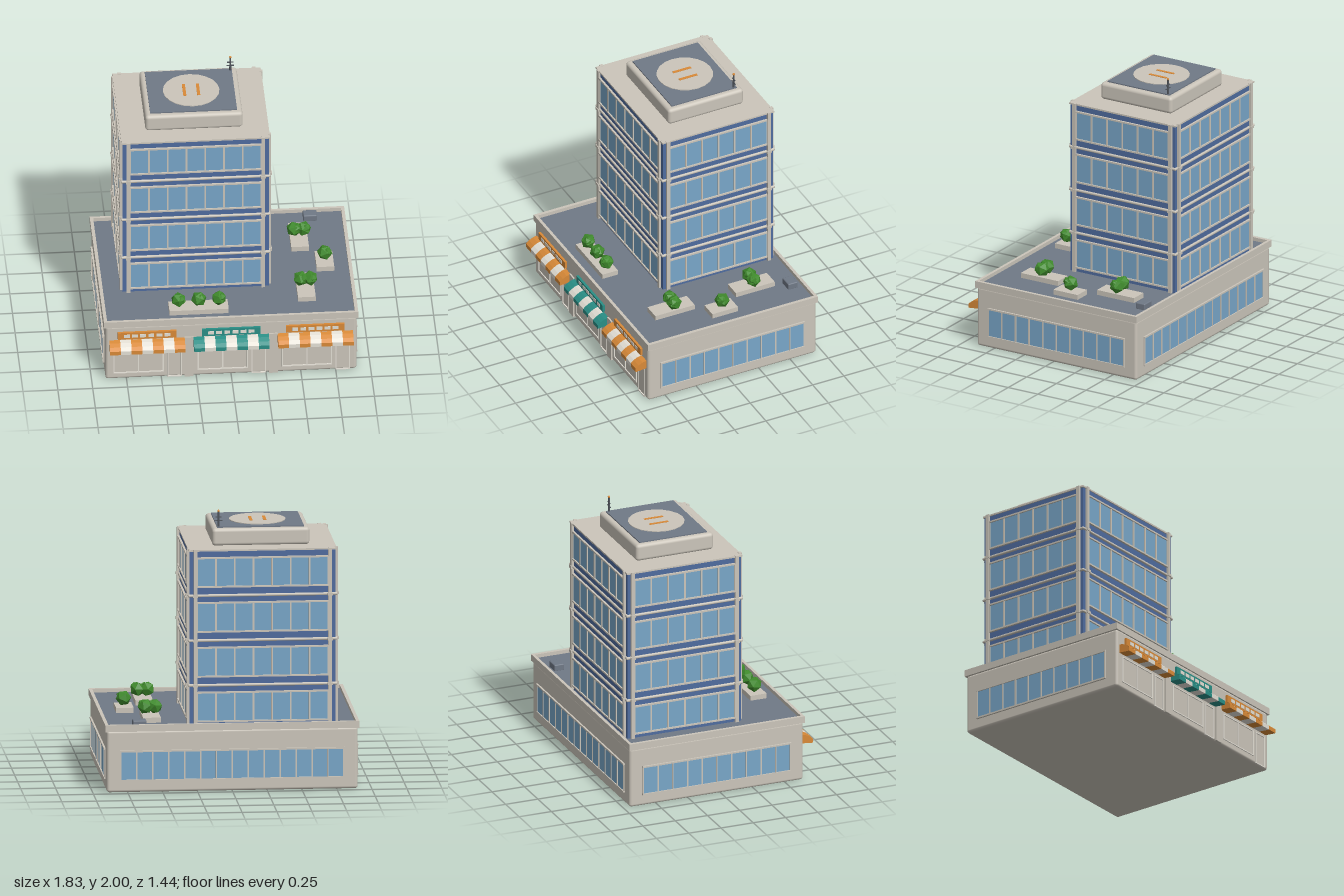
import * as THREE from 'three';
import { RoundedBoxGeometry } from 'three/addons/geometries/RoundedBoxGeometry.js';

const mat = (name, color, extra = {}) =>
  Object.assign(new THREE.MeshStandardMaterial({ color, ...extra }), { name });

export function createModel() {
  const M = {
    stone: mat('warm stone', 0xcbc5ba),
    glass: mat('blue glass', 0x78a6c8),
    navy: mat('navy panel', 0x4f6c9f),
    slate: mat('slate roof', 0x707986),
    white: mat('off white', 0xe4e0d6),
    orange: mat('orange', 0xd98a38),
    teal: mat('teal', 0x2a8f86),
    leaf: mat('leaf green', 0x3f8a2c, { flatShading: true }),
    metal: mat('dark metal', 0x50555c),
  };
  const model = new THREE.Group();
  model.name = 'officeTower';

  const group = (name, parent = model) => {
    const g = new THREE.Group();
    g.name = name;
    parent.add(g);
    return g;
  };
  const add = (name, geo, material, x, y, z, parent = model) => {
    const m = new THREE.Mesh(geo, material);
    m.name = name;
    m.position.set(x, y, z);
    parent.add(m);
    return m;
  };
  // Box given by its min and max on each axis
  const box = (name, material, x0, x1, y0, y1, z0, z1, parent, radius = 0) => {
    const s = [x1 - x0, y1 - y0, z1 - z0];
    const geo = radius ? new RoundedBoxGeometry(...s, 3, radius) : new THREE.BoxGeometry(...s);
    return add(name, geo, material, (x0 + x1) / 2, (y0 + y1) / 2, (z0 + z1) / 2, parent);
  };
  // Glazed strip on the local plane z = 0, facing +z
  const windowStrip = (parent, width, y0, y1, panes, bar = 0.012, deep = 0.012) => {
    const h = width / 2;
    box('windowGlass', M.glass, -h, h, y0, y1, -0.002, 0.005, parent);
    for (let i = 0; i <= panes; i++) {
      const x = -h + (width * i) / panes;
      box('mullion', M.stone, x - bar / 2, x + bar / 2, y0, y1, 0, deep, parent);
    }
    for (const y of [y0, y1])
      box('windowRail', M.stone, -h - 0.006, h + 0.006, y - 0.006, y + 0.006, 0, deep + 0.003, parent);
  };

  // Podium with cornice, parapet and roof
  const podium = group('podium');
  box('podiumWall', M.stone, -0.9, 0.9, 0, 0.45, -0.705, 0.64, podium, 0.02);
  box('podiumRoof', M.slate, -0.89, 0.89, 0.445, 0.466, -0.695, 0.63, podium);
  for (const s of [-1, 1])
    box('sideParapet', M.stone, s * 0.9 - 0.012, s * 0.9 + 0.012, 0.443, 0.493, -0.712, 0.647, podium);
  box('backParapet', M.stone, -0.912, 0.912, 0.443, 0.493, -0.712, -0.69, podium);
  box('frontParapet', M.stone, -0.912, 0.912, 0.443, 0.493, 0.625, 0.647, podium);
  const podiumFaces = [
    [0.9, -0.033, Math.PI / 2, 1.14, 10],
    [-0.9, -0.033, -Math.PI / 2, 1.14, 10],
    [0, -0.705, Math.PI, 1.6, 14],
  ];
  for (const [x, z, turn, width, panes] of podiumFaces) {
    const g = group('podiumWindows', podium);
    g.position.set(x, 0, z);
    g.rotation.y = turn;
    windowStrip(g, width, 0.088, 0.3, panes, 0.01, 0.01);
  }

  // Shops: awning, sign, window and door frames
  const profile = [[0.635, 0.335], [0.672, 0.328], [0.703, 0.312], [0.727, 0.292], [0.727, 0.262], [0.717, 0.262], [0.635, 0.27]];
  const awningShape = new THREE.Shape(profile.map(([z, y]) => new THREE.Vector2(-z, y)));
  const frame = (name, x0, x1, y0, y1, parent) => {
    const t = 0.008, z0 = 0.638, z1 = 0.647;
    box(name, M.white, x0, x0 + t, y0, y1, z0, z1, parent);
    box(name, M.white, x1 - t, x1, y0, y1, z0, z1, parent);
    box(name, M.white, x0, x1, y1 - t, y1, z0, z1, parent);
    box(name, M.white, x0, x1, y0, y0 + t, z0, z1, parent);
  };
  [[-0.603, M.orange], [0, M.teal], [0.603, M.orange]].forEach(([cx, colour]) => {
    const shop = group('shop');
    shop.position.x = cx;
    const w = 0.54 / 7;
    for (let i = 0; i < 7; i++) {
      const geo = new THREE.ExtrudeGeometry(awningShape, { depth: w, bevelEnabled: false });
      const stripe = add('awningStripe', geo, i % 2 ? M.white : colour, -0.27 + i * w, 0, 0, shop);
      stripe.rotation.y = Math.PI / 2;
    }
    box('signBoard', colour, -0.21, 0.21, 0.348, 0.404, 0.635, 0.658, shop);
    for (let i = 0; i < 6; i++) {
      const x = -0.145 + i * 0.058;
      box('signPanel', M.white, x - 0.021, x + 0.021, 0.363, 0.389, 0.656, 0.661, shop);
    }
    frame('shopWindowFrame', -0.24, 0.12, 0.05, 0.25, shop);
    box('shopWindowBar', M.white, -0.064, -0.056, 0.05, 0.25, 0.638, 0.647, shop);
    frame('doorFrame', 0.145, 0.25, 0.004, 0.25, shop);
  });
  for (const x of [-0.302, 0.302])
    box('shopPier', M.stone, x - 0.032, x + 0.032, 0.004, 0.34, 0.63, 0.652, podium);

  // Tower with four glazed storeys on each side
  const tower = group('tower');
  tower.position.set(-0.222, 0, -0.218);
  box('towerCore', M.navy, -0.524, 0.524, 0.46, 1.742, -0.44, 0.44, tower);
  const pitch = 0.3267;
  const towerFaces = [
    [0, 0.44, 0, 0.94, 7],
    [0, -0.44, Math.PI, 0.94, 7],
    [0.524, 0, Math.PI / 2, 0.78, 6],
    [-0.524, 0, -Math.PI / 2, 0.78, 6],
  ];
  for (const [x, z, turn, width, panes] of towerFaces) {
    const face = group('towerFace', tower);
    face.position.set(x, 0, z);
    face.rotation.y = turn;
    for (let i = 0; i < 4; i++) windowStrip(face, width, 0.5 + i * pitch, 0.71 + i * pitch, panes);
    for (const s of [-1, 1]) {
      const px = s * (width / 2 + 0.013);
      box('cornerPost', M.stone, px - 0.013, px + 0.013, 0.46, 1.752, -0.005, 0.018, face);
    }
  }
  for (let i = 0; i < 3; i++) {
    const y = 0.762 + i * pitch;
    box('floorLedge', M.stone, -0.536, 0.536, y - 0.01, y + 0.01, -0.452, 0.452, tower, 0.008);
    for (const sx of [-1, 1]) for (const sz of [-1, 1]) {
      box('ledgeCollar', M.stone, sx * 0.483 - 0.018, sx * 0.483 + 0.018, y - 0.01, y + 0.01,
        sz * 0.45 - 0.014, sz * 0.45 + 0.014, tower);
      box('ledgeCollar', M.stone, sx * 0.534 - 0.014, sx * 0.534 + 0.014, y - 0.01, y + 0.01,
        sz * 0.403 - 0.018, sz * 0.403 + 0.018, tower);
    }
  }
  box('towerRoof', M.stone, -0.532, 0.532, 1.738, 1.75, -0.448, 0.448, tower);

  // Penthouse with landing pad
  const pad = group('landingPad');
  box('penthouse', M.stone, -0.572, 0.126, 1.745, 1.872, -0.515, 0.085, pad, 0.025);
  box('padDeck', M.slate, -0.535, 0.088, 1.868, 1.88, -0.477, 0.045, pad);
  add('padCircle', new THREE.CylinderGeometry(0.203, 0.203, 0.006, 20), M.stone, -0.222, 1.882, -0.216, pad);
  for (const s of [-1, 1])
    box('padMarkingBar', M.orange, -0.222 + s * 0.05 - 0.011, -0.222 + s * 0.05 + 0.011, 1.884, 1.888, -0.29, -0.145, pad);

  // Antenna
  const antenna = group('antenna');
  add('mast', new THREE.CylinderGeometry(0.006, 0.008, 0.125, 8), M.metal, 0.077, 1.93, -0.457, antenna);
  add('beacon', new THREE.SphereGeometry(0.009, 10, 8), M.orange, 0.077, 1.991, -0.457, antenna);
  for (const [y, w] of [[1.92, 0.028], [1.947, 0.022]])
    box('crossbar', M.metal, 0.077 - w, 0.077 + w, y - 0.003, y + 0.003, -0.46, -0.454, antenna);

  // Roof garden planters, bushes and vent
  const garden = group('roofGarden');
  const planters = [
    [-0.435, -0.01, 0.425, 0.55],
    [0.495, 0.622, -0.512, -0.2],
    [0.657, 0.783, -0.137, 0.068],
    [0.495, 0.622, 0.128, 0.443],
  ];
  for (const [x0, x1, z0, z1] of planters)
    box('planter', M.stone, x0, x1, 0.46, 0.503, z0, z1, garden);
  const bushes = [
    [-0.365, 0.485], [-0.22, 0.485], [-0.075, 0.485],
    [0.525, -0.355], [0.595, -0.355], [0.722, -0.04],
    [0.525, 0.28], [0.595, 0.28],
  ];
  bushes.forEach(([x, z], i) => {
    const main = add('bush', new THREE.IcosahedronGeometry(0.056, 0), M.leaf, x, 0.556, z, garden);
    main.rotation.set(0.2, i * 0.7, 0.1);
    const side = add('bushClump', new THREE.IcosahedronGeometry(0.036, 0), M.leaf, x + 0.016, 0.57, z + 0.012, garden);
    side.rotation.set(0.5, i * 0.9, 0.4);
  });
  box('roofVent', M.slate, 0.61, 0.708, 0.46, 0.512, -0.655, -0.578, garden, 0.008);

  return model;
}
